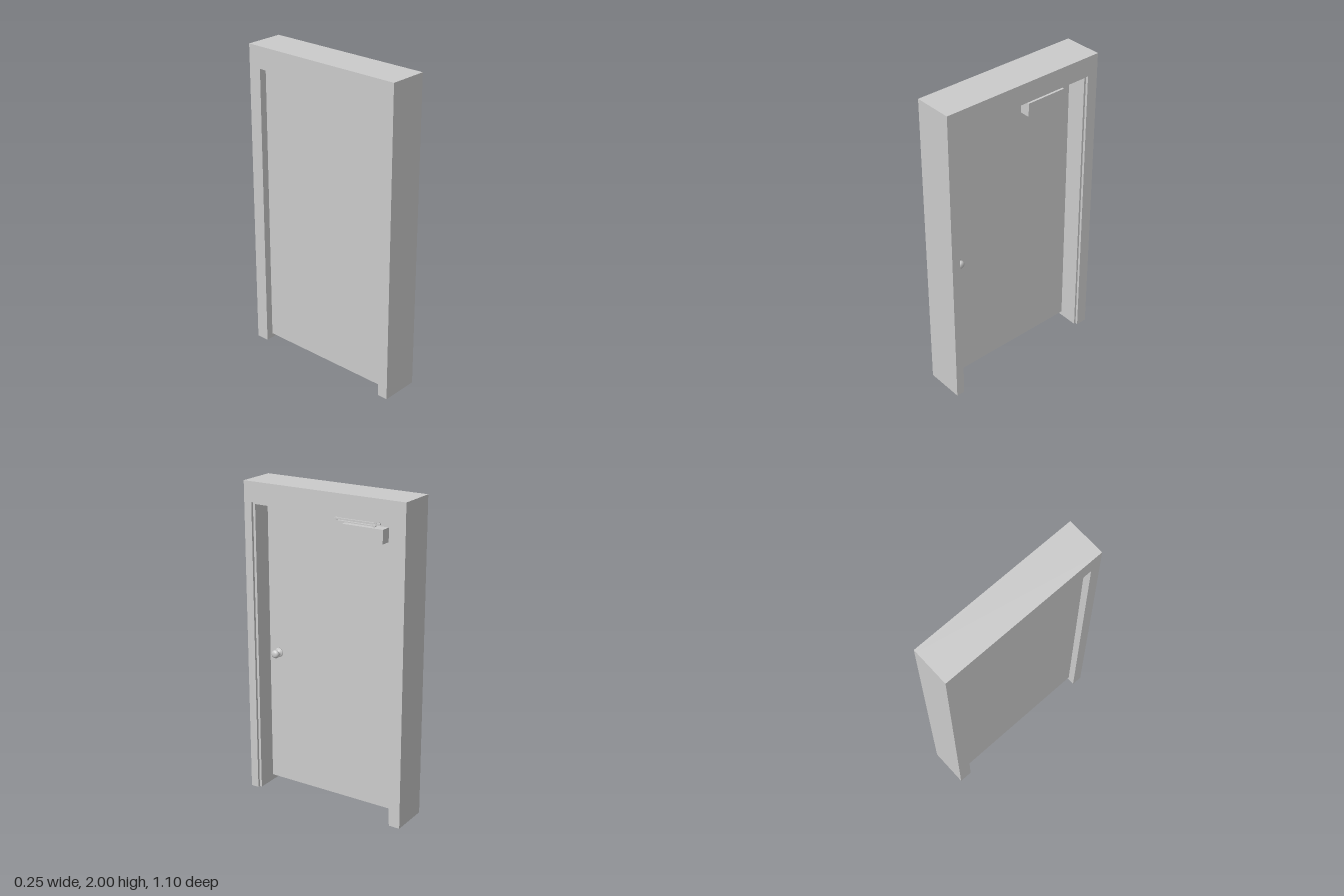
import * as THREE from 'three';

const material = new THREE.MeshStandardMaterial({ color: 0xcccccc });

export function createModel() {
  const group = new THREE.Group();
  const add = (name, geometry, x = 0, y = 0, z = 0) => {
    const mesh = new THREE.Mesh(geometry, material);
    mesh.name = name;
    mesh.position.set(x, y, z);
    group.add(mesh);
    return mesh;
  };
  // Box given by its lower and upper corners
  const box = (name, a, b) => add(name,
    new THREE.BoxGeometry(b[0] - a[0], b[1] - a[1], b[2] - a[2]),
    (a[0] + b[0]) / 2, (a[1] + b[1]) / 2, (a[2] + b[2]) / 2);
  // Flat bar between two points
  const bar = (name, a, b, width, height) => {
    const from = new THREE.Vector3(...a), to = new THREE.Vector3(...b);
    const mesh = add(name, new THREE.BoxGeometry(width, height, from.distanceTo(to)));
    mesh.position.lerpVectors(from, to, 0.5);
    mesh.lookAt(to);
    return mesh;
  };

  // Door frame: an upside-down U, extruded along x
  const frame = (name, x0, x1, zLeft, zRight, top) => {
    const shape = new THREE.Shape([
      [-0.55, 0], [-zLeft, 0], [-zLeft, top], [-zRight, top],
      [-zRight, 0.008], [0.55, 0.008], [0.55, 2], [-0.55, 2],
    ].map(([u, y]) => new THREE.Vector2(u, y)));
    const geometry = new THREE.ExtrudeGeometry(shape, { depth: x1 - x0, bevelEnabled: false });
    geometry.rotateY(Math.PI / 2);
    add(name, geometry, x0);
  };
  frame('wallAndJamb', -0.124, 0.108, 0.482, -0.465, 1.862);
  frame('rebatedWallEdge', 0.108, 0.124, 0.498, -0.478, 1.875);

  // Door leaf
  box('doorLeaf', [-0.077, 0.037, -0.465], [-0.017, 1.862, 0.482]);

  // Knob on its round rose, turned about the x axis
  const profile = [[0, 0], [0.029, 0], [0.029, 0.004], [0.024, 0.008], [0.011, 0.011],
    [0.011, 0.022], [0.02, 0.027], [0.026, 0.036], [0.026, 0.044], [0.021, 0.053],
    [0.012, 0.058], [0, 0.058]].map(([r, h]) => new THREE.Vector2(r, h));
  const knob = new THREE.LatheGeometry(profile, 28);
  knob.rotateZ(-Math.PI / 2);
  add('doorKnob', knob, -0.017, 0.902, 0.415);
  box('roseTab', [-0.017, 0.926, 0.412], [-0.012, 0.936, 0.418]);

  // Door closer: body, spindle, folding arm and soffit shoe
  box('closerBody', [-0.017, 1.722, -0.362], [0.05, 1.807, -0.089]);
  add('closerSpindle', new THREE.CylinderGeometry(0.009, 0.009, 0.012, 16), 0.017, 1.812, -0.285);
  bar('closerMainArm', [0.017, 1.813, -0.295], [0.015, 1.813, -0.02], 0.016, 0.006);
  add('closerElbow', new THREE.CylinderGeometry(0.008, 0.008, 0.022, 16), 0.015, 1.82, -0.03);
  bar('closerForearm', [0.015, 1.826, -0.02], [0.048, 1.837, -0.345], 0.012, 0.007);
  add('shoePivot', new THREE.CylinderGeometry(0.008, 0.008, 0.016, 16), 0.046, 1.842, -0.315);
  box('soffitShoe', [0.032, 1.846, -0.345], [0.062, 1.862, -0.29]);

  return group;
}
